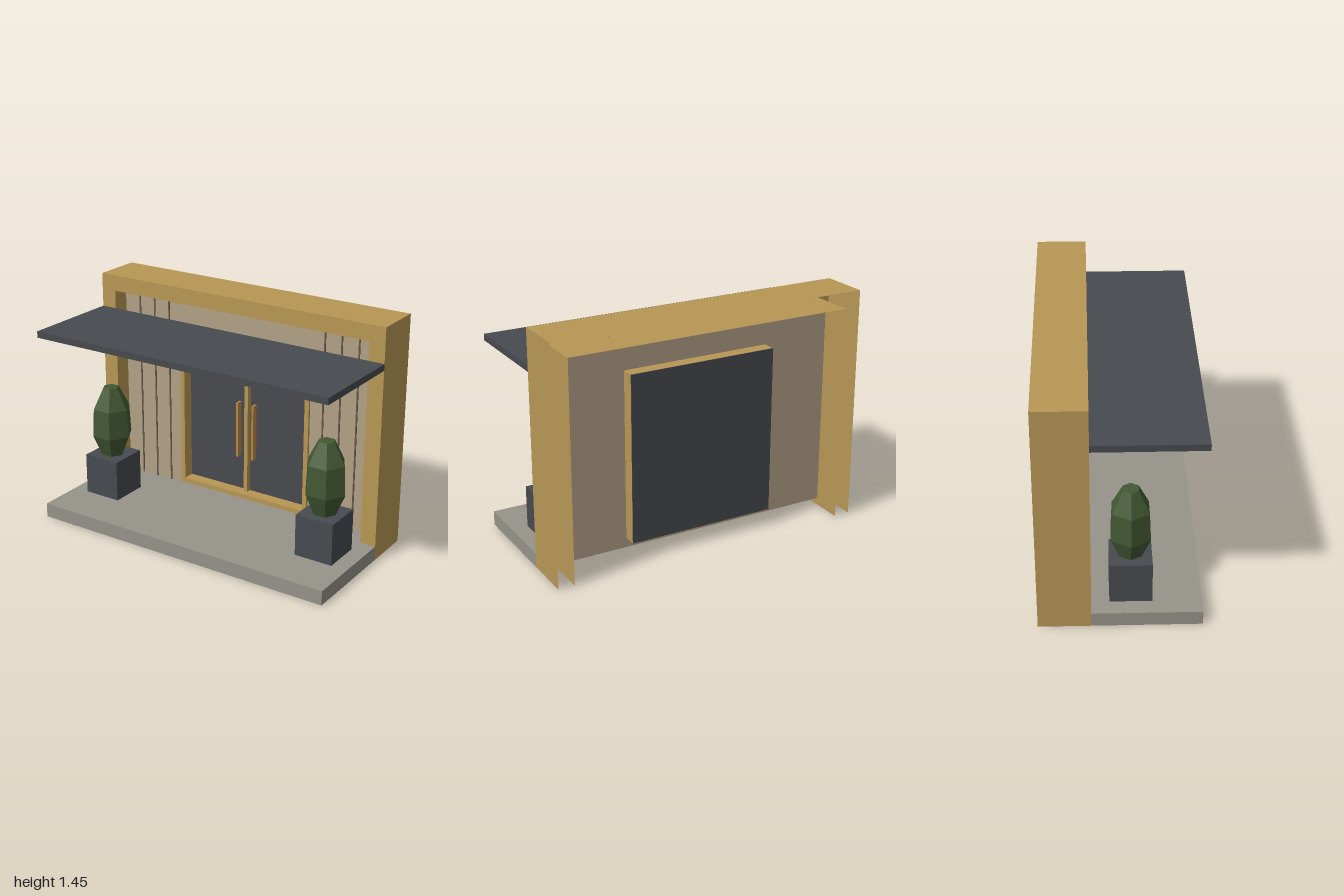
import * as THREE from 'three';

const mat = (name, color, extra = {}) => {
  const m = new THREE.MeshStandardMaterial({ color, ...extra });
  m.name = name;
  return m;
};

export function createModel() {
  const root = new THREE.Group();
  root.name = 'entrancePortal';

  const gold = mat('gold', 0xb89755, { side: THREE.DoubleSide });
  const stone = mat('stone', 0x96938a, { side: THREE.DoubleSide });
  const cladding = mat('cladding', 0xb2a186, { side: THREE.DoubleSide });
  const groove = mat('groove', 0x65574a);
  const charcoal = mat('charcoal', 0x474a4f);
  const bronze = mat('bronze', 0xb88a48);
  const leaf = mat('leaf', 0x425833, { flatShading: true });

  const add = (parent, name, geometry, material) => {
    const mesh = new THREE.Mesh(geometry, material);
    mesh.name = name;
    parent.add(mesh);
    return mesh;
  };
  const group = (name) => {
    const g = new THREE.Group();
    g.name = name;
    root.add(g);
    return g;
  };
  // Box given by its extents along x, y and z
  const box = (parent, name, material, [x0, x1], [y0, y1], [z0, z1]) =>
    add(parent, name, new THREE.BoxGeometry(x1 - x0, y1 - y0, z1 - z0), material)
      .position.set((x0 + x1) / 2, (y0 + y1) / 2, (z0 + z1) / 2);
  // Upright sheet at x, facing the given side
  const sideSheet = (parent, name, material, x, [y0, y1], [z0, z1], face) => {
    const g = new THREE.PlaneGeometry(z1 - z0, y1 - y0).rotateY(face * Math.PI / 2);
    add(parent, name, g, material).position.set(x, (y0 + y1) / 2, (z0 + z1) / 2);
  };
  // Level sheet at y, facing up (1) or down (-1)
  const levelSheet = (parent, name, material, y, halfX, [z0, z1], face) => {
    const g = new THREE.PlaneGeometry(2 * halfX, z1 - z0).rotateX(-face * Math.PI / 2);
    add(parent, name, g, material).position.set(0, y, (z0 + z1) / 2);
  };
  const rect = (Kind, x, y0, y1) => {
    const p = new Kind();
    p.moveTo(-x, y0).lineTo(x, y0).lineTo(x, y1).lineTo(-x, y1).closePath();
    return p;
  };

  const FRONT = -0.165, BACK = -0.47, WALL = -0.275, FLOOR = 0.09;

  // Portal: hollow channel, open at the back and the feet
  const portal = group('portal');
  const u = new THREE.Shape();
  u.moveTo(-1, 0).lineTo(-0.9, 0).lineTo(-0.9, 1.35).lineTo(0.9, 1.35)
    .lineTo(0.9, 0).lineTo(1, 0).lineTo(1, 1.45).lineTo(-1, 1.45).closePath();
  add(portal, 'portalFront', new THREE.ShapeGeometry(u), gold).position.z = FRONT;
  levelSheet(portal, 'portalTop', gold, 1.45, 1, [BACK, FRONT], 1);
  levelSheet(portal, 'portalSoffit', gold, 1.35, 0.9, [BACK, FRONT], -1);
  for (const s of [-1, 1]) {
    sideSheet(portal, 'portalSide', gold, s, [0, 1.45], [BACK, FRONT], s);
    sideSheet(portal, 'portalReveal', gold, s * 0.9, [0, 1.35], [BACK, FRONT], -s);
  }

  // Floor: shallow platform, open underneath, running in to the wall
  const platform = group('platform');
  levelSheet(platform, 'platformTop', stone, FLOOR, 1, [FRONT, 0.47], 1);
  levelSheet(platform, 'platformThreshold', stone, FLOOR, 0.9, [WALL, FRONT], 1);
  add(platform, 'platformFront', new THREE.PlaneGeometry(2, FLOOR), stone)
    .position.set(0, FLOOR / 2, 0.47);
  for (const s of [-1, 1])
    sideSheet(platform, 'platformSide', stone, s, [0, FLOOR], [FRONT, 0.47], s);

  // Clad wall with an opening for the door, and its grooves
  const wall = group('wall');
  const wallShape = rect(THREE.Shape, 0.9, 0.045, 1.35);
  wallShape.holes.push(rect(THREE.Path, 0.455, 0.12, 1.13));
  add(wall, 'wallPanel', new THREE.ShapeGeometry(wallShape), cladding).position.z = WALL;
  for (const s of [-1, 1])
    for (const x of [0.56, 0.672, 0.785])
      box(wall, 'wallGroove', groove, [s * x - 0.005, s * x + 0.005], [FLOOR, 1.35], [WALL + 0.001, WALL + 0.005]);

  // Double door: frame, dark leaves, centre stile and pull handles
  const door = group('door');
  const frame = rect(THREE.Shape, 0.47, 0.105, 1.145);
  frame.holes.push(rect(THREE.Path, 0.44, 0.135, 1.115));
  add(door, 'doorFrame', new THREE.ExtrudeGeometry(frame, { depth: 0.095, bevelEnabled: false }), gold)
    .position.z = -0.355;
  box(door, 'doorBack', charcoal, [-0.47, 0.47], [0.105, 1.145], [-0.36, -0.3551]);
  box(door, 'doorStile', gold, [-0.013, 0.013], [0.135, 1.115], [-0.345, -0.30]);
  for (const s of [-1, 1]) {
    const span = (a, b) => (s > 0 ? [a, b] : [-b, -a]);
    box(door, 'doorLeaf', charcoal, span(0.013, 0.44), [0.135, 1.115], [-0.354, -0.335]);
    box(door, 'doorHandle', bronze, span(0.049, 0.063), [0.37, 0.735], [-0.325, -0.285]);
  }

  // Canopy
  box(root, 'canopy', charcoal, [-1, 1], [1.195, 1.235], [FRONT, 0.47]);

  // Planters with six-sided clipped shrubs
  const profile = [[0, 0.35], [0.073, 0.35], [0.13, 0.485], [0.12, 0.665], [0.051, 0.8], [0, 0.8]]
    .map(([r, y]) => new THREE.Vector2(r, y));
  for (const s of [-1, 1]) {
    const x = s * 0.777;
    const planter = group(s > 0 ? 'leftPlanter' : 'rightPlanter');
    box(planter, 'planterBox', charcoal, [x - 0.122, x + 0.122], [FLOOR, 0.35], [-0.06, 0.185]);
    add(planter, 'shrub', new THREE.LatheGeometry(profile, 6).rotateY(Math.PI / 6), leaf)
      .position.set(x, 0, 0.0625);
  }

  return root;
}
